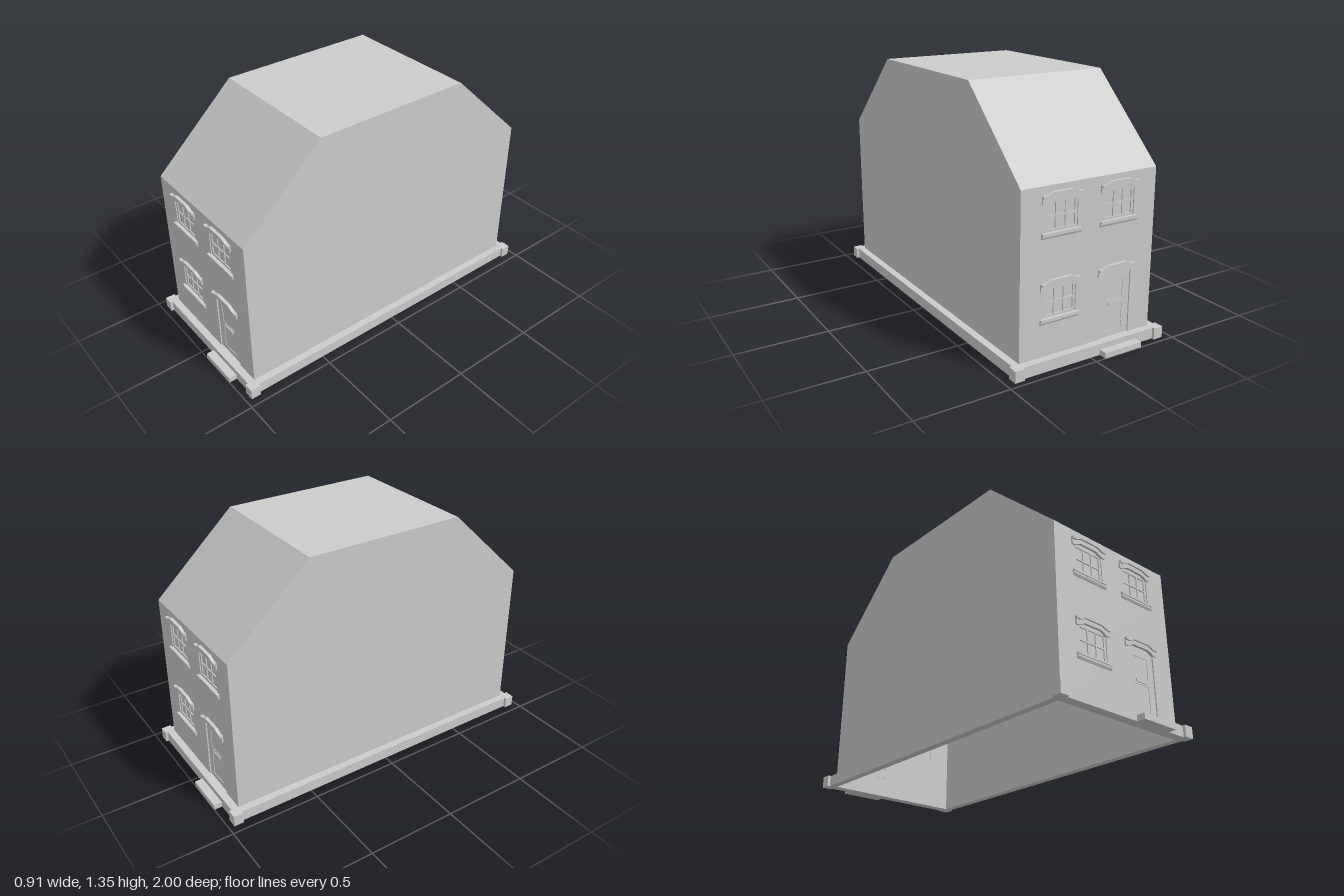
import * as THREE from 'three';

const material = new THREE.MeshStandardMaterial({ color: 0xcccccc, flatShading: true, side: THREE.DoubleSide });
const W = 0.4, D = 0.915, EAVE = 0.915, TOP = 1.345, RIDGE = 0.455, PLINTH = 0.06;

function add(parent, name, geometry, x = 0, y = 0, z = 0) {
  const mesh = new THREE.Mesh(geometry, material);
  mesh.name = name;
  mesh.position.set(x, y, z);
  parent.add(mesh);
  return mesh;
}
const box = (parent, name, w, h, d, x, y, z) => add(parent, name, new THREE.BoxGeometry(w, h, d), x, y, z);
const points = (list) => list.map(([x, y]) => new THREE.Vector2(x, y));
const rect = (x0, y0, x1, y1) => [[x0, y0], [x1, y0], [x1, y1], [x0, y1]];
function shapeOf(outline, holes = []) {
  const shape = new THREE.Shape(points(outline));
  for (const hole of holes) shape.holes.push(new THREE.Path(points(hole)));
  return shape;
}
const slab = (shape, depth) => new THREE.ExtrudeGeometry(shape, { depth, bevelEnabled: false });
// Full symmetric outline from its right half
const mirrored = (half) => [...half, ...half.map(([x, y]) => [-x, y]).reverse()];

// Opening with a low cambered head; top is the crown of the hood above it
const opening = (bottom, top, cx = 0) =>
  mirrored([[0.095, bottom], [0.095, top - 0.055], [0.085, top - 0.05], [0.055, top - 0.035]])
    .map(([x, y]) => [x + cx, y]);

// Cambered hood: flat surround with a projecting moulding along its top
function addHood(parent, cx, top) {
  const crest = [[0.055, top], [0.09, top - 0.015], [0.114, top - 0.015]];
  const drop = (d) => crest.map(([x, y]) => [x, y - d]).reverse();
  const surround = [...crest, [0.114, top - 0.055], [0.095, top - 0.055], [0.085, top - 0.05], [0.055, top - 0.035]];
  const left = (list) => list.map(([x, y]) => [-x, y]).reverse();
  const n = crest.length;
  const whole = (half) => [...left(half.slice(0, n)), ...half, ...left(half.slice(n))];
  add(parent, 'hoodSurround', slab(shapeOf(whole(surround)), 0.008), cx, 0, D);
  add(parent, 'hoodMoulding', slab(shapeOf(whole([...crest, ...drop(0.013)])), 0.017), cx, 0, D);
}

function addWindow(parent, cx, top) {
  const g = new THREE.Group();
  g.name = 'window';
  parent.add(g);
  const sill = top - 0.197;
  addHood(g, cx, top);
  // Sash with three columns and two rows of panes
  const panes = [];
  for (let c = 0; c < 3; c++) {
    for (let r = 0; r < 2; r++) {
      const x = -0.081 + c * 0.056, y = sill + 0.013 + r * 0.068;
      panes.push(rect(x, y, x + 0.05, y + 0.06));
    }
  }
  add(g, 'sash', slab(shapeOf(opening(sill, top), panes), 0.006), cx, 0, D - 0.011);
  add(g, 'glass', new THREE.ShapeGeometry(shapeOf(opening(sill, top))), cx, 0, D - 0.012);
  // Sill lip over a tapering apron
  box(g, 'sill', 0.228, 0.009, 0.014, cx, sill - 0.004, D + 0.007);
  const apron = slab(shapeOf([[0, 0], [0.004, 0], [0.009, 0.01], [0.009, 0.02], [0, 0.02]]), 0.228);
  add(g, 'sillApron', apron, cx + 0.114, sill - 0.028, D).rotation.y = -Math.PI / 2;
}

function addDoor(parent, cx, top) {
  const g = new THREE.Group();
  g.name = 'door';
  parent.add(g);
  addHood(g, cx, top);
  const panels = [rect(-0.053, 0.09, 0.053, 0.225), rect(-0.053, 0.262, 0.053, 0.37)];
  add(g, 'doorLeaf', slab(shapeOf(opening(PLINTH, top), panels), 0.005), cx, 0, D - 0.012);
  add(g, 'doorPanels', new THREE.ShapeGeometry(shapeOf(opening(PLINTH, top))), cx, 0, D - 0.01);
  box(g, 'letterSlot', 0.08, 0.016, 0.006, cx, 0.243, D - 0.005);
  box(g, 'doorStep', 0.23, 0.03, 0.05, cx, 0.015, 0.975);
}

// One end of the house: pierced wall, three windows and a door
function makeFacade() {
  const g = new THREE.Group();
  g.name = 'facade';
  const cx = 0.171, low = 0.455, high = 0.885;
  const holes = [
    opening(high - 0.197, high, -cx), opening(high - 0.197, high, cx),
    opening(low - 0.197, low, -cx), opening(PLINTH, low, cx),
  ];
  add(g, 'endWall', slab(shapeOf(rect(-W, 0, W, EAVE), holes), 0.014), 0, 0, D - 0.014);
  addWindow(g, -cx, high);
  addWindow(g, cx, high);
  addWindow(g, -cx, low);
  addDoor(g, cx, low);
  // Sloping roof plane
  const dz = D - RIDGE, dy = TOP - EAVE;
  const slope = add(g, 'roofSlope', new THREE.PlaneGeometry(2 * W, Math.hypot(dz, dy)), 0, (EAVE + TOP) / 2, (D + RIDGE) / 2);
  slope.rotation.x = -Math.atan2(dz, dy);
  return g;
}

export function createModel() {
  const house = new THREE.Group();
  house.name = 'house';

  // The two ends are the same, turned half round
  for (const turn of [0, Math.PI]) {
    const facade = makeFacade();
    facade.rotation.y = turn;
    house.add(facade);
  }

  // Long side walls and flat roof, hollow inside
  const profile = mirrored([[D, 0], [D, EAVE], [RIDGE, TOP]]);
  for (const s of [-1, 1]) {
    add(house, 'sideWall', new THREE.ShapeGeometry(shapeOf(profile)), s * W, 0, 0).rotation.y = s * Math.PI / 2;
  }
  add(house, 'flatRoof', new THREE.PlaneGeometry(2 * W, 2 * RIDGE), 0, TOP, 0).rotation.x = -Math.PI / 2;

  // Plinth frame with corner blocks
  const frame = shapeOf(rect(-0.44, -0.955, 0.44, 0.955), [rect(-W, -D, W, D)]);
  add(house, 'plinth', slab(frame, PLINTH)).rotation.x = -Math.PI / 2;
  for (const sx of [-1, 1]) {
    for (const sz of [-1, 1]) {
      box(house, 'cornerBlock', 0.055, PLINTH + 0.001, 0.055, sx * 0.4275, PLINTH / 2 + 0.0005, sz * 0.9425);
    }
  }
  return house;
}
